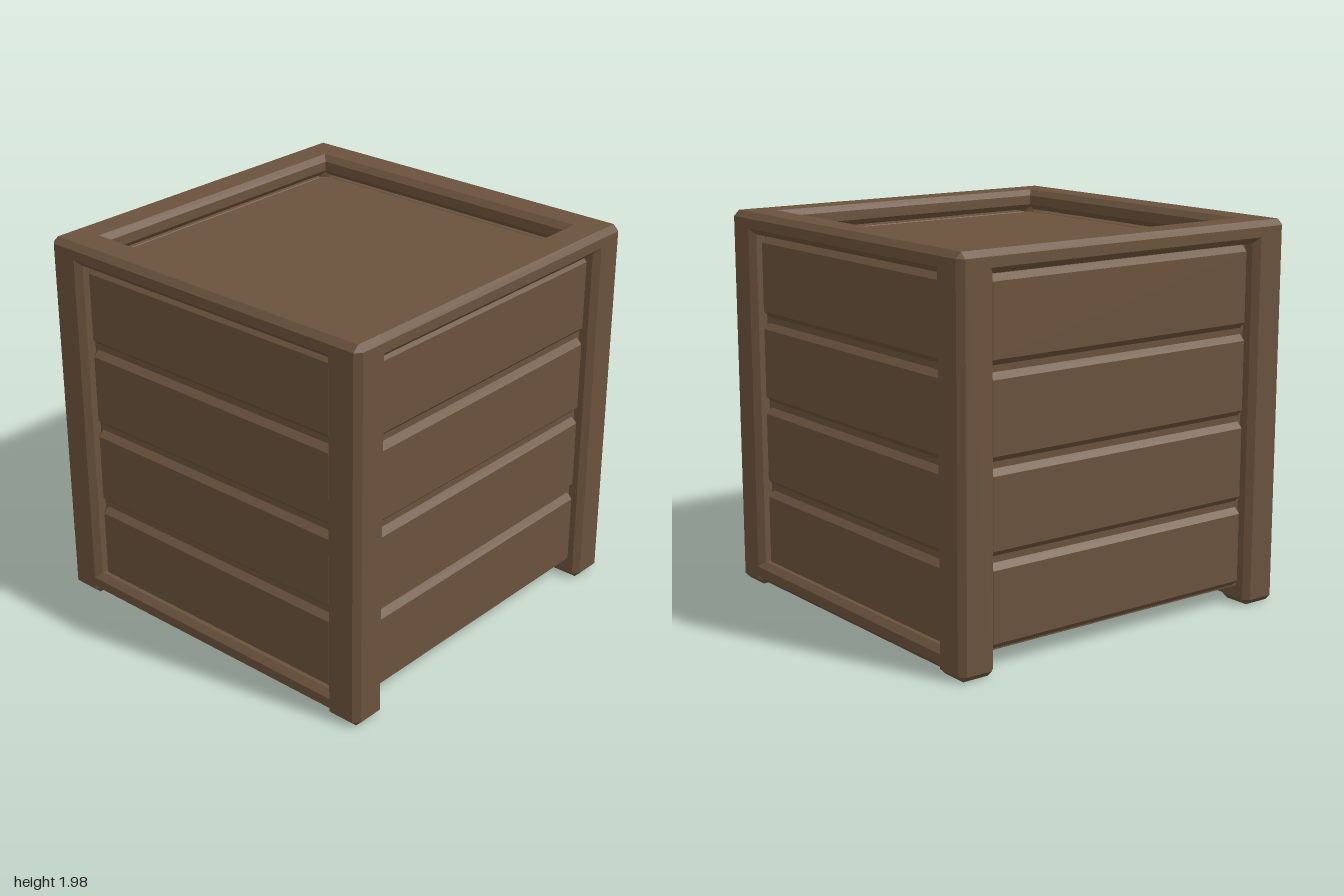
import * as THREE from 'three';
import { ConvexGeometry } from 'three/addons/geometries/ConvexGeometry.js';

const wood = new THREE.MeshStandardMaterial({ color: 0x6a523c });
wood.name = 'brown wood';

const CHAMFER = 0.03;

// Box with every edge and corner cut at 45 degrees
function chamferBox(w, h, d, c = CHAMFER) {
  const points = [];
  const [x, y, z] = [w / 2, h / 2, d / 2];
  for (const sx of [-1, 1]) for (const sy of [-1, 1]) for (const sz of [-1, 1]) {
    points.push(
      new THREE.Vector3(sx * x, sy * (y - c), sz * (z - c)),
      new THREE.Vector3(sx * (x - c), sy * y, sz * (z - c)),
      new THREE.Vector3(sx * (x - c), sy * (y - c), sz * z)
    );
  }
  return new ConvexGeometry(points);
}

function add(parent, name, geometry, x, y, z) {
  const mesh = new THREE.Mesh(geometry, wood);
  mesh.name = name;
  mesh.position.set(x, y, z);
  parent.add(mesh);
  return mesh;
}

export function createModel() {
  const crate = new THREE.Group();
  crate.name = 'crate';
  const height = 1.98, bar = 0.2, railHeight = 0.11;

  // Inner box: closes the gaps between planks and forms the lid and floor
  const coreBottom = 0.095, coreTop = 1.855;
  add(crate, 'innerBox', new THREE.BoxGeometry(1.84, coreTop - coreBottom, 1.84),
    0, (coreBottom + coreTop) / 2, 0);

  // Corner posts
  const post = chamferBox(bar, height, bar);
  for (const x of [-0.9, 0.9]) for (const z of [-0.9, 0.9]) {
    add(crate, 'cornerPost', post, x, height / 2, z);
  }

  const rail = chamferBox(2, railHeight, bar);
  const bottomRail = chamferBox(1.8, railHeight, bar);
  const plank = chamferBox(1.62, 0.415, 0.15);

  // Four sides, each with a top rail and four planks
  ['front', 'left', 'back', 'right'].forEach((name, i) => {
    const side = new THREE.Group();
    side.name = name + 'Side';
    side.rotation.y = i * Math.PI / 2;
    add(side, 'topRail', rail, 0, height - railHeight / 2, 0.9);
    for (let k = 0; k < 4; k++) {
      add(side, 'plank', plank, 0, 0.31 + k * 0.447, 0.875);
    }
    // Only the left and right sides carry a bottom rail
    if (i % 2) add(side, 'bottomRail', bottomRail, 0, 0.075, 0.9);
    crate.add(side);
  });

  return crate;
}
